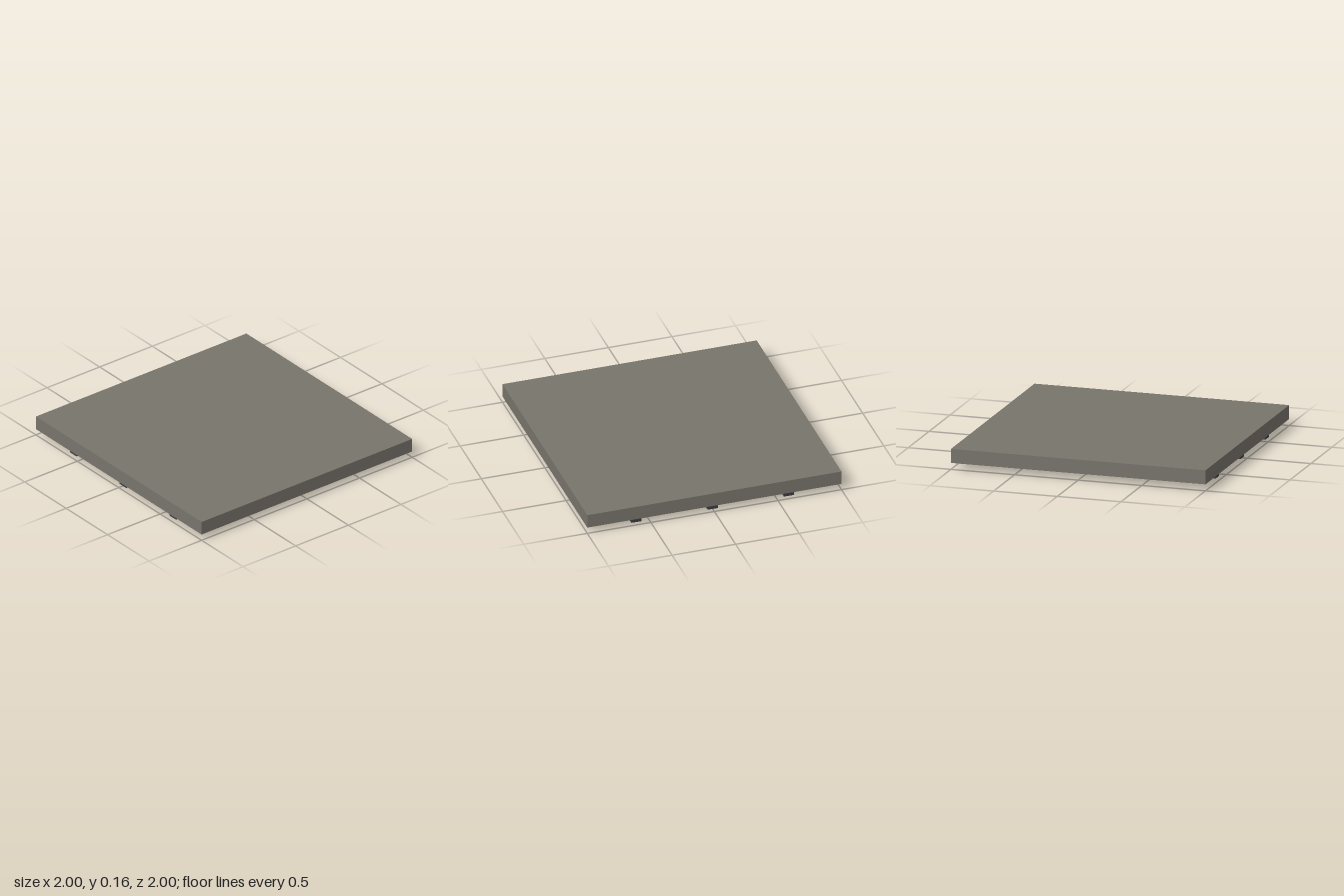
import * as THREE from 'three';

export function createModel() {
  const model = new THREE.Group();
  model.name = 'floorPanel';

  const stone = new THREE.MeshStandardMaterial({ color: 0x78746c });
  stone.name = 'warm grey';
  const iron = new THREE.MeshStandardMaterial({ color: 0x3a3a42 });
  iron.name = 'dark grey';

  const addBox = (name, material, size, position) => {
    const mesh = new THREE.Mesh(new THREE.BoxGeometry(...size), material);
    mesh.name = name;
    mesh.position.set(...position);
    model.add(mesh);
  };

  // Square slab
  addBox('slab', stone, [2, 0.108, 2], [0, 0.104, 0]);

  // Support rails running side to side beneath the slab
  const rails = { frontRail: 0.6, middleRail: 0, backRail: -0.6 };
  for (const [name, z] of Object.entries(rails)) {
    addBox(name, iron, [1.92, 0.05, 0.08], [0, 0.025, z]);
  }

  return model;
}
